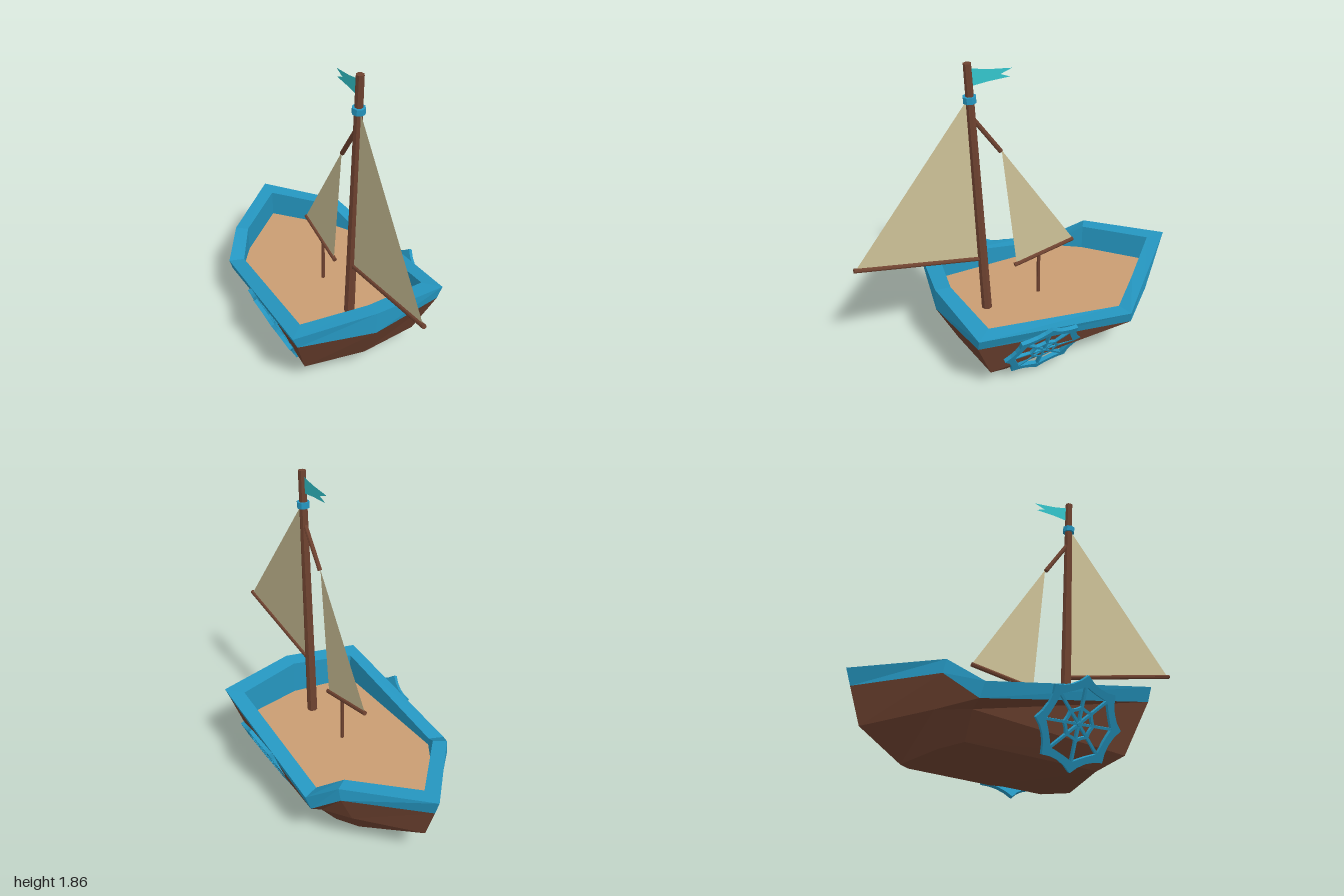
import * as THREE from 'three';

const mat = (name, color, extra = {}) =>
  Object.assign(new THREE.MeshStandardMaterial({ color, flatShading: true, ...extra }), { name });

export function createModel() {
  const wood = mat('brown wood', 0x6e4230);
  const blue = mat('blue paint', 0x2596c0);
  const tan = mat('deck planks', 0xc99d72);
  const canvas = mat('sail canvas', 0xcdc197, { side: THREE.DoubleSide });
  const teal = mat('pennant cloth', 0x33c5cc, { side: THREE.DoubleSide });

  const boat = new THREE.Group();
  boat.name = 'sailboat';
  const add = (name, geometry, material, parent = boat) => {
    const mesh = new THREE.Mesh(geometry, material);
    mesh.name = name;
    parent.add(mesh);
    return mesh;
  };

  // Half ring (bow, bow corner, side, quarter, stern) mirrored to a closed loop
  const ring = (half) => [...half, ...[3, 2, 1].map((i) => [-half[i][0], half[i][1], half[i][2]])];
  const loft = (...halves) => {
    const rings = halves.map(ring), pos = [];
    for (let r = 0; r < rings.length - 1; r++) {
      for (let i = 0; i < 8; i++) {
        const j = (i + 1) % 8, a = rings[r], b = rings[r + 1];
        pos.push(...a[i], ...a[j], ...b[j], ...a[i], ...b[j], ...b[i]);
      }
    }
    const g = new THREE.BufferGeometry();
    g.setAttribute('position', new THREE.Float32BufferAttribute(pos, 3));
    g.computeVertexNormals();
    return g;
  };

  // Hull cross-sections, from keel to inner rim
  const keel = [[0, 0.015, 0.26], [0, 0.012, 0.25], [0, 0.003, -0.21], [0, 0.03, -0.5], [0, 0.05, -0.69]];
  const chine = [[0, 0.015, 0.265], [0.29, 0.065, 0.25], [0.29, 0.115, -0.48], [0.2, 0.09, -0.58], [0, 0.05, -0.69]];
  const knuckle = [[0, 0.15, 0.435], [0.36, 0.145, 0.38], [0.39, 0.245, -0.49], [0.29, 0.25, -0.64], [0, 0.21, -0.91]];
  const bandLow = [[0, 0.405, 0.56], [0.447, 0.425, 0.485], [0.455, 0.28, -0.485], [0.36, 0.41, -0.635], [0, 0.405, -0.972]];
  const bandTop = [[0, 0.543, 0.558], [0.476, 0.5, 0.49], [0.478, 0.36, -0.468], [0.365, 0.482, -0.62], [0, 0.495, -1]];
  const inner = [[0, 0.533, 0.465], [0.39, 0.497, 0.398], [0.39, 0.365, -0.437], [0.3, 0.482, -0.575], [0, 0.49, -0.877]];
  const deckEdge = inner.map(([x, , z]) => [x, 0.32, z]);
  add('hull', loft(keel, chine, knuckle, bandLow), wood);
  add('rim', loft(bandLow, bandTop, inner, deckEdge), blue);
  add('deck', loft(deckEdge, deckEdge.map(() => [0, 0.32, -0.1])), tan);

  // Poles on the centre plane, each between two [y, z] points
  const pole = (name, [y0, z0], [y1, z1], r0, r1 = r0, material = wood) => {
    const a = new THREE.Vector3(0, y0, z0), b = new THREE.Vector3(0, y1, z1);
    const dir = b.clone().sub(a);
    const mesh = add(name, new THREE.CylinderGeometry(r1, r0, dir.length(), 8), material);
    mesh.position.copy(a).add(b).multiplyScalar(0.5);
    mesh.quaternion.setFromUnitVectors(new THREE.Vector3(0, 1, 0), dir.normalize());
  };
  pole('mast', [0.31, 0.243], [1.86, 0.31], 0.032, 0.022);
  pole('mastCollar', [1.65, 0.302], [1.685, 0.304], 0.036, 0.036, blue);
  pole('mainBoom', [0.675, 0.27], [0.815, 0.998], 0.013);
  pole('gaff', [1.555, 0.288], [1.335, 0.135], 0.013);
  pole('jibBoom', [0.565, 0.058], [0.642, -0.33], 0.013);
  pole('jibPost', [0.31, -0.1], [0.6, -0.1], 0.011);

  // Sails and pennant: flat outlines of [z, y] points on the centre plane
  const cloth = (name, points, material) => {
    const shape = new THREE.Shape(points.map(([z, y]) => new THREE.Vector2(-z, y)));
    add(name, new THREE.ShapeGeometry(shape).rotateY(Math.PI / 2), material);
  };
  cloth('mainSail', [[0.98, 0.825], [0.285, 0.69], [0.322, 1.66]], canvas);
  cloth('jibSail', [[0.13, 1.34], [0.045, 0.575], [-0.325, 0.65]], canvas);
  cloth('pennant', [[0.295, 1.83], [0.2, 1.81], [0.064, 1.795], [0.13, 1.772], [0.075, 1.75], [0.2, 1.745], [0.292, 1.735]], teal);

  // Eight-pointed web wheels leaning against both sides
  const star = (path, tip, dip) => {
    const at = (k, r) => [Math.cos(k * Math.PI / 8) * r, Math.sin(k * Math.PI / 8) * r];
    path.moveTo(...at(0, tip));
    for (let k = 0; k < 16; k += 2) path.quadraticCurveTo(...at(k + 1, dip), ...at(k + 2, tip));
    return path;
  };
  const webRing = (tip, dip, holeTip, holeDip, depth) => {
    const shape = star(new THREE.Shape(), tip, dip);
    shape.holes.push(star(new THREE.Path(), holeTip, holeDip));
    return new THREE.ExtrudeGeometry(shape, { depth, bevelEnabled: false, curveSegments: 4 })
      .translate(0, 0, -depth / 2);
  };
  const outerRing = webRing(0.245, 0.185, 0.188, 0.168, 0.022);
  const innerRing = webRing(0.092, 0.075, 0.076, 0.063, 0.02);
  const spoke = new THREE.BoxGeometry(0.2, 0.013, 0.02).translate(0.1, 0, 0);
  const hub = new THREE.CylinderGeometry(0.012, 0.024, 0.03, 8).rotateX(Math.PI / 2);
  for (const side of [1, -1]) {
    const wheel = new THREE.Group();
    wheel.name = side > 0 ? 'leftWebWheel' : 'rightWebWheel';
    add('outerWeb', outerRing, blue, wheel);
    add('innerWeb', innerRing, blue, wheel);
    add('hub', hub, blue, wheel);
    for (let i = 0; i < 8; i++) add('spoke', spoke, blue, wheel).rotation.z = i * Math.PI / 4;
    wheel.rotation.set(0, side * Math.PI / 2, -side * 0.445, 'ZYX');
    wheel.position.set(side * 0.414, 0.252, 0.073);
    boat.add(wheel);
  }
  return boat;
}
